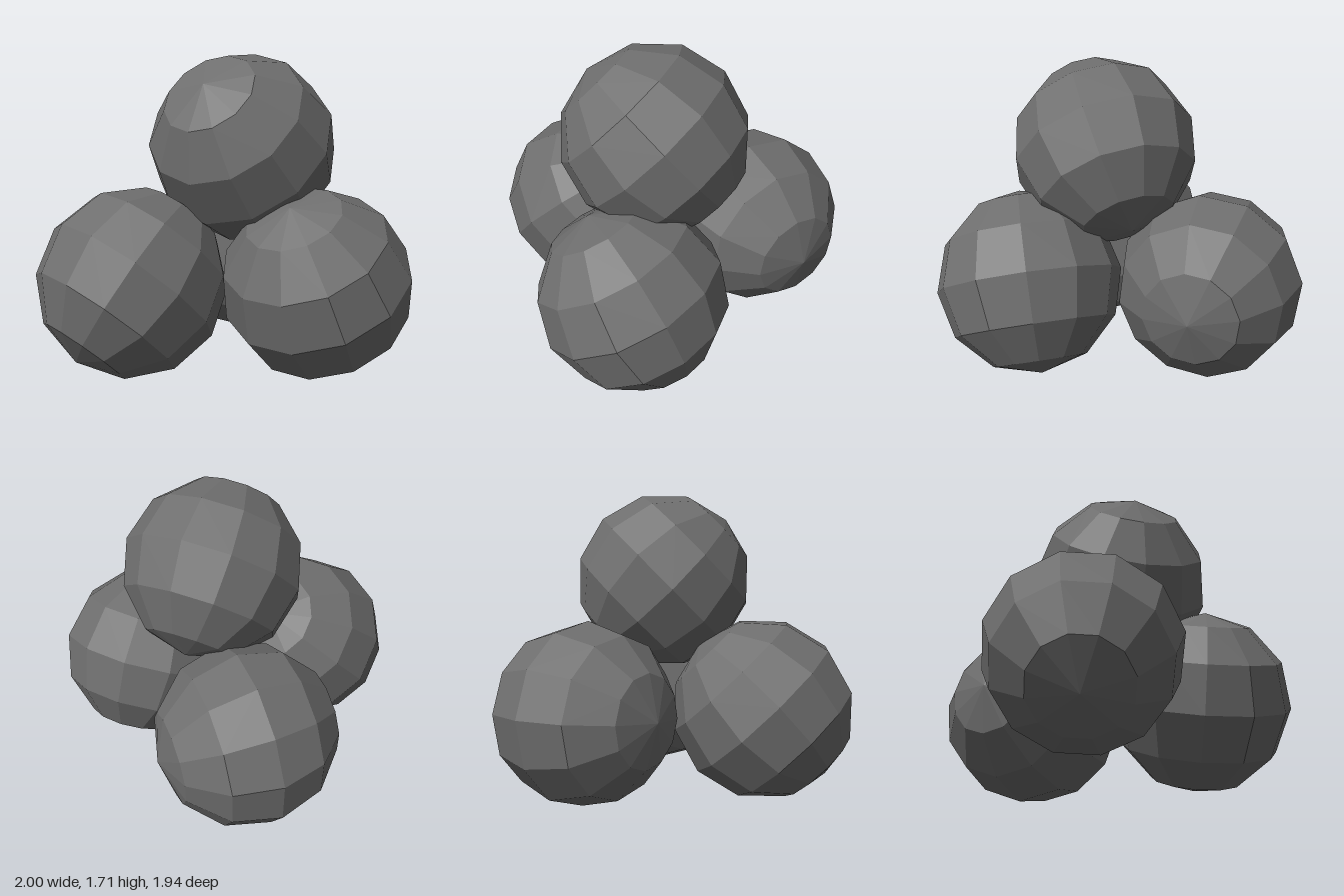
import * as THREE from 'three';

const RADIUS = 0.515;

// One faceted ball; axis points to its pole, side fixes where a seam line runs
function makeBall(name, center, axis, side, material) {
  const up = new THREE.Vector3(...axis).normalize();
  const z = new THREE.Vector3(...side).cross(up).normalize();
  const x = new THREE.Vector3().crossVectors(up, z);
  const ball = new THREE.Mesh(new THREE.SphereGeometry(RADIUS, 12, 6), material);
  ball.name = name;
  ball.quaternion.setFromRotationMatrix(new THREE.Matrix4().makeBasis(x, up, z));
  ball.position.set(...center);
  return ball;
}

export function createModel() {
  const group = new THREE.Group();
  group.name = 'ballPile';
  const material = new THREE.MeshStandardMaterial({ color: 0x6e6e6e, flatShading: true });

  // Three balls on the ground and one resting on them
  const balls = [
    ['frontRightBall', [-0.49, 0.515, 0.35], [-0.58, -0.71, 0.4], [-0.2, 0.12, 0.97]],
    ['frontLeftBall', [0.49, 0.515, 0.465], [-0.35, 0.88, 0.32], [0.93, 0.36, 0.03]],
    ['backBall', [0.11, 0.515, -0.46], [0.99, -0.05, -0.13], [0, 0.99, 0.12]],
    ['topBall', [0.125, 1.215, 0.17], [-0.46, 0.7, 0.54], [1, 0, 0]],
  ];
  for (const [name, center, axis, side] of balls) {
    group.add(makeBall(name, center, axis, side, material));
  }
  return group;
}
